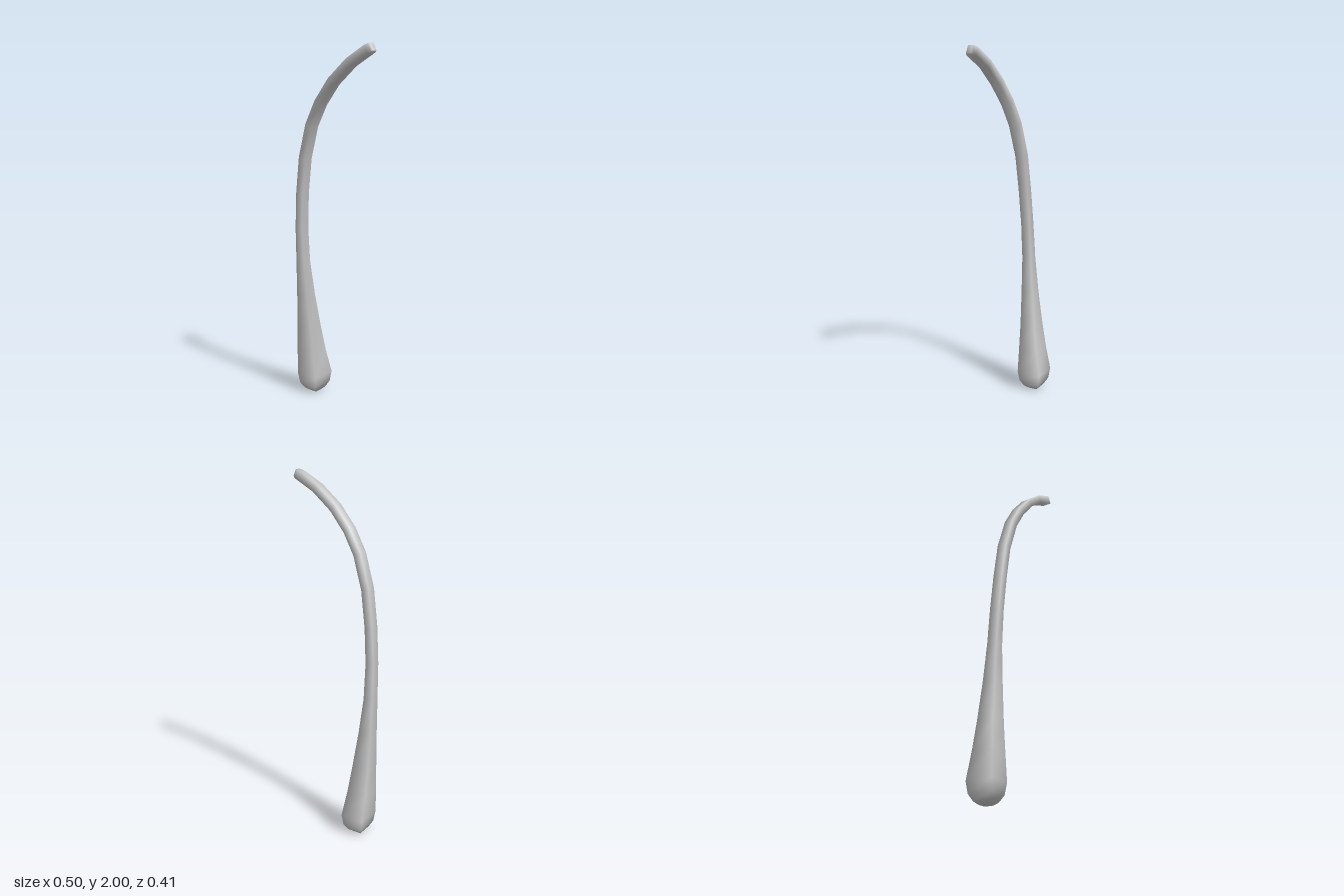
import * as THREE from 'three';

// Sections from foot to tip: centre x, y, z, in-plane depth, side-to-side width
const SECTIONS = [
  [-0.155, 0.0, -0.115, 0.05, 0.05],
  [-0.156, 0.015, -0.115, 0.085, 0.09],
  [-0.157, 0.05, -0.115, 0.122, 0.13],
  [-0.157, 0.11, -0.115, 0.137, 0.148],
  [-0.172, 0.25, -0.104, 0.119, 0.118],
  [-0.184, 0.4, -0.095, 0.101, 0.092],
  [-0.198, 0.6, -0.084, 0.075, 0.071],
  [-0.21, 0.8, -0.075, 0.055, 0.056],
  [-0.213, 1.0, -0.065, 0.047, 0.055],
  [-0.203, 1.2, -0.051, 0.046, 0.055],
  [-0.18, 1.4, -0.034, 0.046, 0.055],
  [-0.132, 1.58, -0.003, 0.046, 0.055],
  [-0.072, 1.7, 0.032, 0.046, 0.055],
  [0.01, 1.81, 0.076, 0.046, 0.055],
  [0.114, 1.905, 0.123, 0.046, 0.055],
  [0.215, 1.966, 0.17, 0.046, 0.055],
  [0.232, 1.975, 0.178, 0.044, 0.046],
  [0.24, 1.979, 0.182, 0.04, 0.028],
];

function createBar() {
  const side = new THREE.Vector3(-0.415, 0, 0.91).normalize();
  const corners = [[1, -1], [-1, -1], [-1, 1], [1, 1]];
  const points = SECTIONS.map(s => new THREE.Vector3(s[0], s[1], s[2]));
  const last = points.length - 1;
  const positions = [], index = [];

  // Four-cornered sections set square to the path; the foot stays level
  SECTIONS.forEach(([, , , depth, width], i) => {
    const tangent = i < 5
      ? new THREE.Vector3(0, 1, 0)
      : points[Math.min(i + 1, last)].clone().sub(points[i - 1]).normalize();
    const normal = tangent.clone().cross(side).normalize();
    const across = normal.clone().cross(tangent).normalize();
    for (const [s, t] of corners) {
      const p = points[i].clone()
        .addScaledVector(normal, s * depth / 2)
        .addScaledVector(across, t * width / 2);
      positions.push(p.x, p.y, p.z);
    }
  });

  // Side walls
  for (let i = 0; i < last; i++) {
    for (let k = 0; k < 4; k++) {
      const a = i * 4 + k, b = i * 4 + (k + 1) % 4;
      index.push(a, b, b + 4, a, b + 4, a + 4);
    }
  }
  // End faces
  const e = last * 4;
  index.push(0, 2, 1, 0, 3, 2, e, e + 1, e + 2, e, e + 2, e + 3);

  const geometry = new THREE.BufferGeometry();
  geometry.setAttribute('position', new THREE.Float32BufferAttribute(positions, 3));
  geometry.setIndex(index);
  geometry.computeVertexNormals();
  return geometry;
}

export function createModel() {
  const group = new THREE.Group();
  group.name = 'curvedBar';
  const bar = new THREE.Mesh(createBar(), new THREE.MeshStandardMaterial({ color: 0xcccccc }));
  bar.name = 'taperedBar';
  group.add(bar);
  return group;
}
